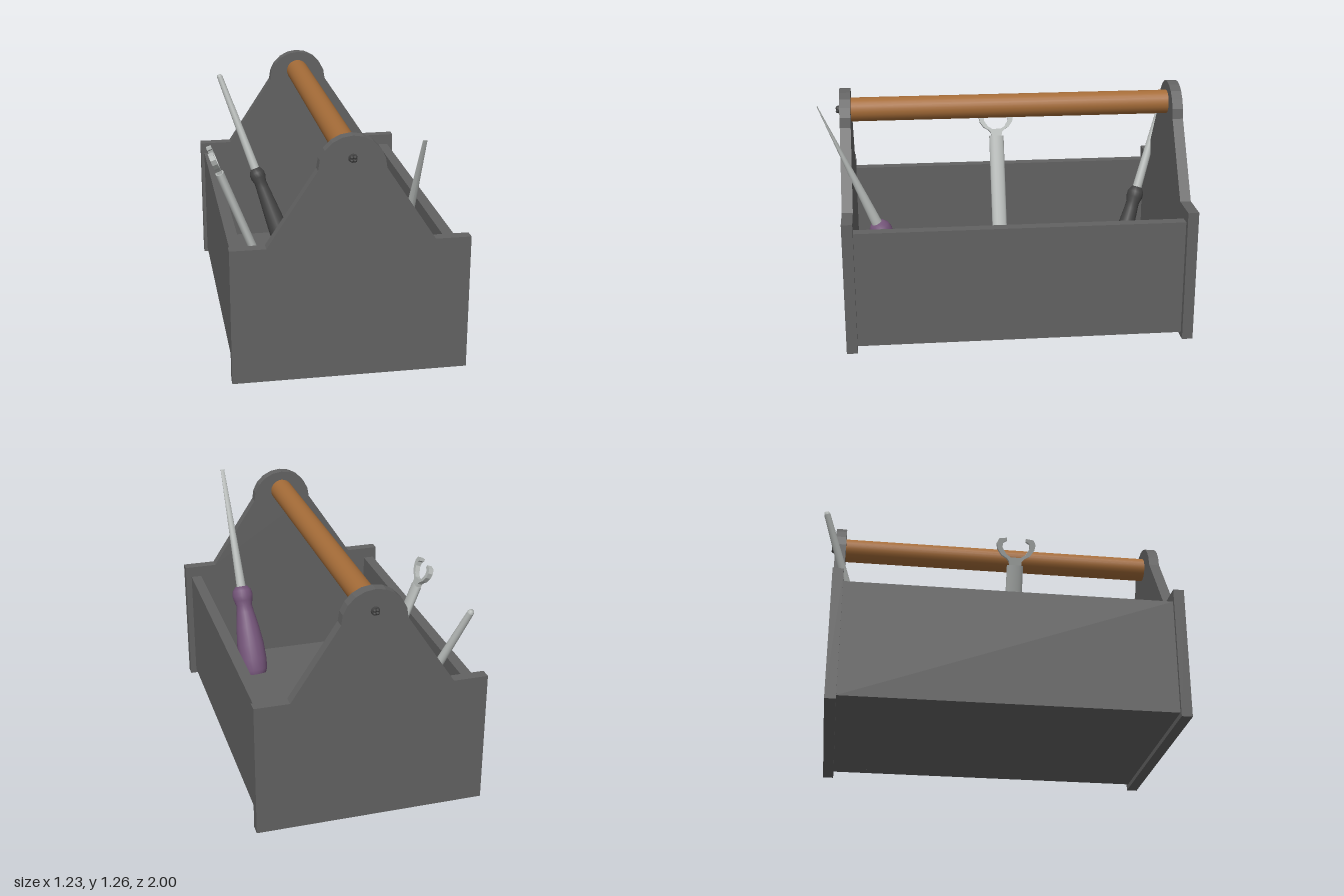
import * as THREE from 'three';

const mat = (name, color) => {
  const m = new THREE.MeshStandardMaterial({ color });
  m.name = name;
  return m;
};

export function createModel() {
  const model = new THREE.Group();
  model.name = 'toolbox';
  const boxGrey = mat('boxGrey', 0x626262);
  const wood = mat('wood', 0xa56c38);
  const steel = mat('steel', 0xb6bab8);
  const black = mat('blackGrip', 0x424242);
  const purple = mat('purpleGrip', 0x735478);
  const CX = 0.015, CZ = -0.02;

  const add = (parent, name, geo, material, x = 0, y = 0, z = 0) => {
    const m = new THREE.Mesh(geo, material);
    m.name = name;
    m.position.set(x, y, z);
    parent.add(m);
    return m;
  };
  const lathe = (pts, n = 20) =>
    new THREE.LatheGeometry(pts.map(([r, h]) => new THREE.Vector2(r, h)), n);
  const slab = (shape, depth, curveSegments = 12) =>
    new THREE.ExtrudeGeometry(shape, { depth, bevelEnabled: false, curveSegments });

  // Gabled end panels with a faceted round top
  const gable = new THREE.Shape();
  gable.moveTo(-0.601, 0);
  gable.lineTo(0.601, 0);
  gable.lineTo(0.601, 0.713);
  gable.lineTo(0.42, 0.713);
  gable.lineTo(0.168, 1.095);
  gable.absarc(0, 1.095, 0.168, 0, Math.PI, false);
  gable.lineTo(-0.42, 0.713);
  gable.lineTo(-0.601, 0.713);
  for (const [name, z] of [['frontPanel', 0.838], ['backPanel', -0.935]])
    add(model, name, slab(gable, 0.057, 5), boxGrey, CX, 0, z);

  // Long side walls and floor
  for (const [name, s] of [['leftWall', 1], ['rightWall', -1]])
    add(model, name, new THREE.BoxGeometry(0.058, 0.625, 1.72), boxGrey, 0.008 + s * 0.546, 0.3385, CZ);
  add(model, 'floor', new THREE.BoxGeometry(1.036, 0.074, 1.72), boxGrey, 0.008, 0.063, CZ);

  // Carrying bar
  const bar = add(model, 'handleBar', new THREE.CylinderGeometry(0.064, 0.064, 1.72, 24), wood, CX, 1.149, CZ);
  bar.rotation.x = Math.PI / 2;

  // Cross-slotted screw heads: a low disc with four rounded lobes
  for (const s of [1, -1]) {
    const screw = new THREE.Group();
    screw.name = s > 0 ? 'frontScrew' : 'backScrew';
    screw.position.set(CX, 1.151, CZ + s * 0.914);
    screw.rotation.x = s * Math.PI / 2;
    add(screw, 'screwDisc', new THREE.CylinderGeometry(0.02, 0.023, 0.014, 16), black, 0, 0.007, 0);
    for (let i = 0; i < 4; i++) {
      const a = Math.PI / 4 + i * Math.PI / 2;
      const lobe = add(screw, 'screwLobe', new THREE.SphereGeometry(0.01, 10, 6), black,
        0.011 * Math.cos(a), 0.013, 0.011 * Math.sin(a));
      lobe.scale.y = 1.2;
    }
    model.add(screw);
  }

  // A tool stands along the line from its butt to its tip
  const tool = (name, butt, tip) => {
    const g = new THREE.Group();
    g.name = name;
    const a = new THREE.Vector3(...butt), d = new THREE.Vector3(...tip).sub(a);
    const length = d.length();
    g.position.copy(a);
    g.quaternion.setFromUnitVectors(new THREE.Vector3(0, 1, 0), d.normalize());
    model.add(g);
    return [g, length];
  };

  // Dark screwdriver with a round shaft
  const [dark, darkLen] = tool('darkScrewdriver', [-0.117, 0.13, -0.645], [-0.455, 1.115, -0.988]);
  add(dark, 'darkGrip', lathe([[0, 0], [0.058, 0.008], [0.058, 0.008], [0.061, 0.03], [0.059, 0.09], [0.05, 0.21],
    [0.039, 0.35], [0.037, 0.39], [0.046, 0.42], [0.046, 0.45], [0.03, 0.48], [0, 0.48]]), black);
  add(dark, 'darkShaft', lathe([[0.027, 0.46], [0.017, darkLen - 0.015], [0.017, darkLen - 0.015],
    [0.012, darkLen], [0, darkLen]], 16), steel);

  // Purple screwdriver with a flat blade
  const [violet, violetLen] = tool('purpleScrewdriver', [0.281, 0.115, 0.508], [0.338, 1.255, 0.998]);
  add(violet, 'purpleGrip', lathe([[0, 0], [0.066, 0], [0.066, 0], [0.078, 0.025], [0.083, 0.09], [0.081, 0.18],
    [0.068, 0.29], [0.052, 0.38], [0.047, 0.42], [0.056, 0.45], [0.062, 0.48], [0.055, 0.512],
    [0.035, 0.535], [0, 0.535]], 24), purple);
  const start = 0.52, span = violetLen - start;
  const blade = new THREE.CylinderGeometry(0.011, 0.028, span, 16, 8);
  const p = blade.attributes.position;
  for (let i = 0; i < p.count; i++) {
    const t = p.getY(i) / span + 0.5;
    p.setZ(i, p.getZ(i) * (1 - 0.85 * t * t));
  }
  blade.computeVertexNormals();
  add(violet, 'purpleShaft', blade, steel, 0, start + span / 2, 0);

  // Open-jawed wrench: flattened rounded handle and a two-armed fork
  const [wrench] = tool('wrench', [-0.275, 0.11, 0.005], [-0.602, 0.95, 0.005]);
  const gripGeo = new THREE.CylinderGeometry(1, 1, 0.755, 16);
  gripGeo.scale(0.024, 1, 0.043);
  add(wrench, 'wrenchHandle', gripGeo, steel, 0, 0.3775, 0);
  const half = [[0.03, -0.01], [0.032, 0.018], [0.045, 0.034], [0.075, 0.052], [0.096, 0.082], [0.102, 0.112],
    [0.09, 0.137], [0.052, 0.142], [0.05, 0.127], [0.07, 0.115], [0.072, 0.09], [0.05, 0.056], [0.025, 0.04]];
  const outline = [...half, ...half.map(([x, y]) => [-x, y]).reverse()];
  const jaw = slab(new THREE.Shape(outline.map(([x, y]) => new THREE.Vector2(x, y))), 0.028);
  jaw.translate(0, 0, -0.014);
  jaw.rotateY(Math.PI / 2);
  add(wrench, 'wrenchJaw', jaw, steel, 0, 0.755, 0);

  return model;
}
